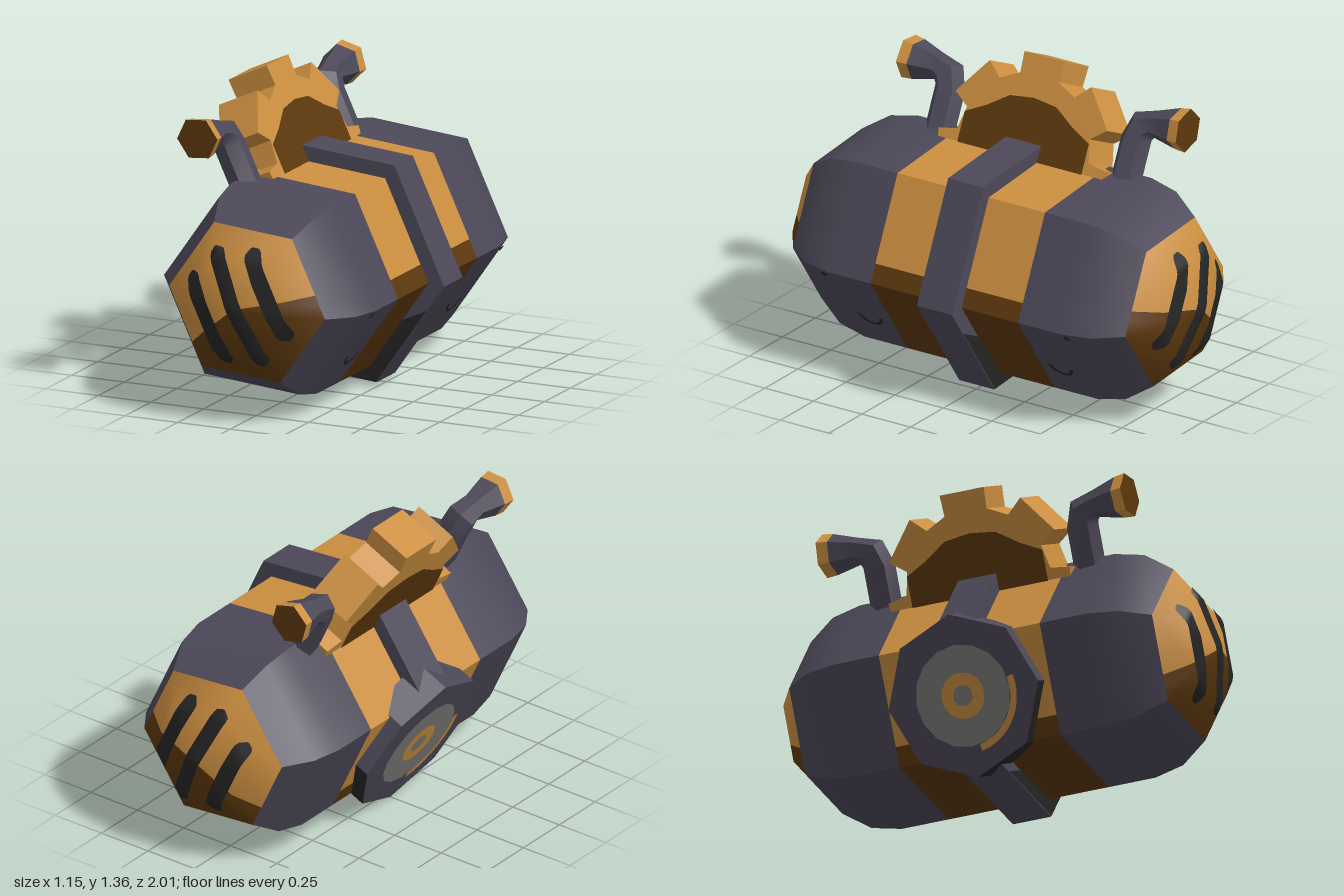
import * as THREE from 'three';
import { toCreasedNormals } from 'three/addons/utils/BufferGeometryUtils.js';

const paint = (name, color) => Object.assign(new THREE.MeshStandardMaterial({ color }), { name });

// Skin between neighbouring cross-sections (each an ordered list of points)
function loft(rings) {
  const out = [];
  const tri = (...pts) => {
    const [a, b, c] = pts;
    if (a.distanceTo(b) < 1e-6 || b.distanceTo(c) < 1e-6 || c.distanceTo(a) < 1e-6) return;
    pts.forEach((p) => out.push(p.x, p.y, p.z));
  };
  for (let j = 0; j + 1 < rings.length; j++) {
    const p = rings[j], q = rings[j + 1];
    for (let i = 0; i + 1 < p.length; i++) {
      tri(p[i], p[i + 1], q[i + 1]);
      tri(p[i], q[i + 1], q[i]);
    }
  }
  const g = new THREE.BufferGeometry();
  g.setAttribute('position', new THREE.Float32BufferAttribute(out, 3));
  return toCreasedNormals(g, 0.7);
}

// Hexagonal hull section, vertex up, with extra points where the two-tone paint divides
const H = 0.866;
const SECTION = [[H, 0.5], [0, 1], [-H, 0.5], [-H, -0.2], [-H, -0.32], [-H, -0.5], [0, -1], [H, -0.5], [H, -0.32], [H, -0.2]];
const hull = (profile, ids) => loft(profile.map(([z, r]) =>
  ids.map((i) => new THREE.Vector3(SECTION[i][0] * r, SECTION[i][1] * r, z))));

const R = 0.485;
const dome = [0, 20, 40, 60, 90].map((a) => {
  const t = THREE.MathUtils.degToRad(a);
  return [0.6 + 0.4 * Math.sin(t), a === 90 ? 0 : R * Math.cos(t)];
});

// Height of the domed end above a point
function domeZ(x, y) {
  const r = Math.max(Math.abs(x), Math.abs(x) / 2 + Math.abs(y) * H) / H;
  for (let i = dome.length - 1; i > 0; i--) {
    const [z1, r1] = dome[i], [z0, r0] = dome[i - 1];
    if (r <= r0) return z1 + ((z0 - z1) * (r - r1)) / (r0 - r1);
  }
  return dome[0][0];
}

// Round-ended vertical slot laid on the dome
function slot(x, half, w) {
  const g = new THREE.PlaneGeometry(2 * w, 2 * half, 4, 28);
  const p = g.attributes.position;
  for (let i = 0; i < p.count; i++) {
    const y = p.getY(i), over = Math.max(0, Math.abs(y) - (half - w)) / w;
    const px = x + p.getX(i) * Math.sqrt(Math.max(0.02, 1 - over * over));
    p.setXYZ(i, px, y, domeZ(px, y) + 0.007);
  }
  g.computeVertexNormals();
  return g;
}

const polygon = (pts) => new THREE.Shape(pts.map(([x, y]) => new THREE.Vector2(x, y)));

export function createModel() {
  const orange = paint('orange', 0xcc8f40);
  const brown = paint('dark brown', 0x5c380c);
  const purple = paint('slate purple', 0x4c4858);
  const black = paint('charcoal', 0x252525);
  const grey = paint('grey', 0x7c7c7a);

  const model = new THREE.Group();
  model.name = 'barrel';
  const body = new THREE.Group();
  body.name = 'body';
  body.position.set(0.01, 0.533, 0);
  body.rotation.z = THREE.MathUtils.degToRad(25);
  model.add(body);

  const add = (parent, name, geometry, material) => {
    const m = new THREE.Mesh(geometry, material);
    m.name = name;
    parent.add(m);
    return m;
  };

  // Middle band, light above and dark below
  const bandProfile = [[-0.38, R], [0.38, R]];
  add(body, 'bandUpper', hull(bandProfile, [8, 9, 0, 1, 2, 3, 4]), orange);
  add(body, 'bandLower', hull(bandProfile, [4, 5, 6, 7, 8]), brown);

  // Raised hexagonal hoop
  const hoop = new THREE.CylinderGeometry(0.56, 0.56, 0.18, 6).rotateX(Math.PI / 2);
  add(body, 'hoop', toCreasedNormals(hoop, 0.5), purple);

  for (const s of [1, -1]) {
    const end = new THREE.Group();
    end.name = s > 0 ? 'frontEnd' : 'backEnd';
    if (s < 0) end.rotation.y = Math.PI;
    body.add(end);

    // Shoulder and domed cap
    add(end, 'shoulder', hull([[0.38, R], ...dome.slice(0, 3)], [0, 1, 2, 3, 4, 5, 6, 7, 8, 9, 0]), purple);
    add(end, 'capUpper', hull(dome.slice(2), [9, 0, 1, 2, 3]), orange);
    add(end, 'capLower', hull(dome.slice(2), [3, 4, 5, 6, 7, 8, 9]), brown);
    for (const [x, half] of [[-0.155, 0.215], [0.003, 0.28], [0.155, 0.215]])
      add(end, 'slot', slot(x * s, half, 0.036), black);

    // Dark underside of the hoop
    const under = add(end, 'hoopUnderside', new THREE.ShapeGeometry(polygon([[0, -0.558], [0.362, -0.35], [-0.362, -0.35]])), black);
    under.position.z = 0.093;

    // Elbow pipe with a flared tip
    const rings = [
      [0.48, 0.4, 0, 0.07], [0.48, 0.63, 0, 0.07], [0.5, 0.69, 45, 0.072],
      [0.56, 0.712, 90, 0.06], [0.67, 0.718, 90, 0.09], [0.72, 0.72, 90, 0.096],
    ].map(([z, y, deg, r]) => {
      const t = THREE.MathUtils.degToRad(deg), pts = [];
      for (let k = 0; k <= 6; k++) {
        const a = ((k % 6) * Math.PI) / 3 - 0.35, n = r * Math.sin(a);
        pts.push(new THREE.Vector3(r * Math.cos(a), y + n * Math.sin(t), z - n * Math.cos(t)));
      }
      return pts;
    });
    add(end, 'pipe', loft(rings.slice(0, 5)), purple);
    add(end, 'pipeTip', loft(rings.slice(4)), orange);
    const mouth = add(end, 'pipeMouth', new THREE.CircleGeometry(0.096, 6), brown);
    mouth.rotation.z = -0.35;
    mouth.position.set(0, 0.72, 0.72);
  }

  // Gear standing on the top ridge
  const teeth = [];
  for (let k = 0; k < 7; k++)
    for (const [deg, r] of [[-17, 0.34], [-14, 0.43], [14, 0.43], [17, 0.34]]) {
      const a = (k * 2 * Math.PI) / 7 + THREE.MathUtils.degToRad(90 + deg);
      teeth.push([r * Math.cos(a), 0.455 + r * Math.sin(a)]);
    }
  const gear = add(body, 'gear', new THREE.ExtrudeGeometry(polygon(teeth), { depth: 0.2, bevelEnabled: false }), orange);
  gear.rotation.y = Math.PI / 2;
  gear.position.x = -0.1;
  const gearDark = new THREE.ShapeGeometry(polygon([
    [-0.32, 0.36], [0.32, 0.36], [0.32, 0.56], [0.22, 0.61], [0.12, 0.675], [0, 0.69], [-0.12, 0.675], [-0.22, 0.61], [-0.32, 0.56],
  ]));
  for (const s of [1, -1]) {
    const plate = add(body, 'gearInnerFace', gearDark, brown);
    plate.rotation.y = (s * Math.PI) / 2;
    plate.position.x = s * 0.104;
  }

  // Octagonal dial on the right flank
  const dial = new THREE.Group();
  dial.name = 'dial';
  dial.rotation.y = -Math.PI / 2;
  dial.position.x = -0.487;
  body.add(dial);
  for (const [name, start, mat] of [['dialRimUpper', 0, purple], ['dialRimLower', Math.PI, black]]) {
    const rim = new THREE.CylinderGeometry(0.353, 0.353, 0.16, 4, 1, true, start, Math.PI);
    rim.rotateZ(Math.PI / 2).rotateY(Math.PI / 2).translate(0, 0, -0.08);
    add(dial, name, toCreasedNormals(rim, 0.5), mat);
  }
  add(dial, 'dialFace', new THREE.CircleGeometry(0.353, 8), purple);
  const plates = [
    ['dialScale', new THREE.RingGeometry(0.1, 0.22, 16), grey],
    ['dialHub', new THREE.RingGeometry(0.045, 0.1, 16), orange],
    ['dialCentre', new THREE.CircleGeometry(0.045, 12), grey],
    ['dialTrim', new THREE.RingGeometry(0.22, 0.25, 10, 1, -1.4, 1.6), orange],
  ];
  for (const [name, g, mat] of plates) add(dial, name, g, mat).position.z = 0.005;

  // Small dark marks on the lower left flank
  const flank = new THREE.Group();
  flank.name = 'flankMarks';
  flank.rotation.set(0, Math.PI / 2, 0);
  const tilt = new THREE.Group();
  tilt.name = 'lowerFlank';
  tilt.rotation.z = -Math.PI / 3;
  tilt.add(flank);
  body.add(tilt);
  for (const s of [1, -1]) {
    add(flank, 'dot', new THREE.CircleGeometry(0.015, 10), black).position.set(s * 0.625, 0.225, 0.424);
    add(flank, 'crescent', new THREE.RingGeometry(0.045, 0.062, 12, 1, Math.PI, Math.PI), black).position.set(s * 0.49, -0.04, 0.424);
  }
  return model;
}
